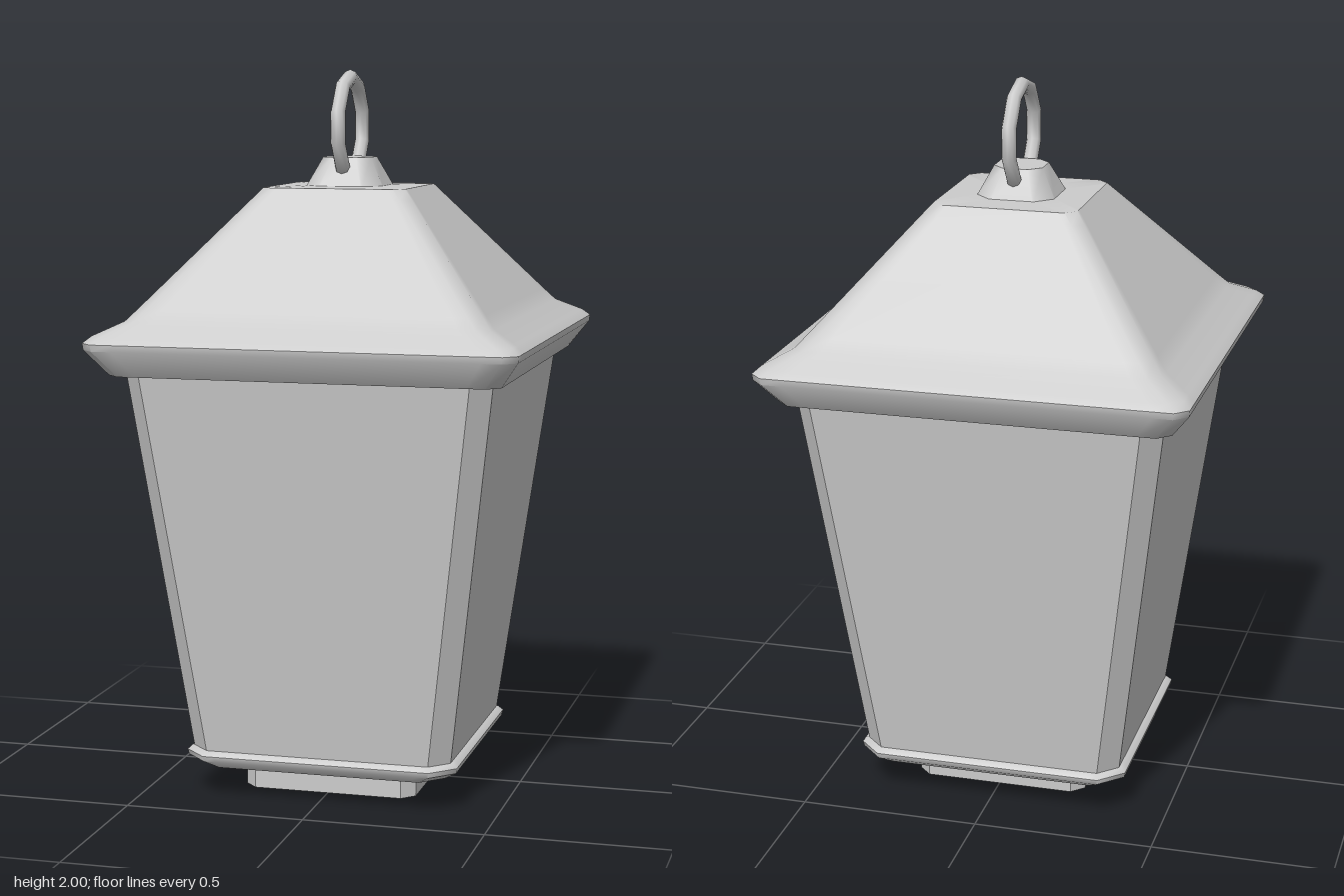
import * as THREE from 'three';
import { toCreasedNormals } from 'three/addons/utils/BufferGeometryUtils.js';

const material = new THREE.MeshStandardMaterial({ color: 0xcccccc });

// Square outline with chamfered corners; extra points keep the corner shading narrow
function outline(half, chamfer) {
  const s = half - chamfer, side = [-s, -s * 0.9, s * 0.9, s], points = [];
  for (let i = 0; i < 4; i++) {
    const c = Math.round(Math.cos(i * Math.PI / 2)), d = Math.round(Math.sin(i * Math.PI / 2));
    for (const t of side) points.push([half * c - t * d, half * d + t * c]);
  }
  return points;
}

// Closed loft through sections [half width, chamfer, y], listed from bottom to top
function loft(sections, crease) {
  const pos = [], index = [], n = 16;
  for (const [half, chamfer, y] of sections)
    for (const [x, z] of outline(half, chamfer)) pos.push(x, y, z);
  const last = sections.length - 1, bottom = pos.length / 3, top = bottom + 1;
  pos.push(0, sections[0][2], 0, 0, sections[last][2], 0);
  for (let i = 0; i < n; i++) {
    const j = (i + 1) % n;
    for (let k = 0; k < last; k++) {
      const a = k * n + i, b = k * n + j;
      index.push(a, a + n, b, b, a + n, b + n);
    }
    index.push(bottom, i, j, top, last * n + j, last * n + i);
  }
  const geo = new THREE.BufferGeometry();
  geo.setAttribute('position', new THREE.Float32BufferAttribute(pos, 3));
  geo.setIndex(index);
  return toCreasedNormals(geo, crease);
}

export function createModel() {
  const group = new THREE.Group();
  const add = (name, geometry) => {
    const mesh = new THREE.Mesh(geometry, material);
    mesh.name = name;
    group.add(mesh);
    return mesh;
  };

  add('foot', loft([[0.245, 0.035, 0], [0.245, 0.035, 0.09]], 0.3));

  // Rounded tray under the body
  add('baseTray', loft([
    [0.345, 0.06, 0.08], [0.382, 0.065, 0.105], [0.385, 0.065, 0.12], [0.372, 0.06, 0.132],
  ], 0.82));

  // Tapered panes with chamfered corner posts
  add('lanternBody', loft([[0.365, 0.052, 0.12], [0.505, 0.052, 1.2]], 0.3));

  // Flared roof with eaves and a small cap
  add('roof', loft([
    [0.535, 0.035, 1.19], [0.588, 0.035, 1.262], [0.59, 0.035, 1.28], [0.57, 0.035, 1.298],
    [0.5, 0.032, 1.333], [0.47, 0.032, 1.367], [0.225, 0.028, 1.651], [0.2, 0.028, 1.68],
    [0.108, 0.045, 1.682], [0.068, 0.033, 1.76],
  ], 0.82));

  // Ten-sided hanging loop
  const loop = new THREE.TorusGeometry(0.136, 0.021, 8, 10);
  loop.rotateZ(Math.PI / 2).rotateY(Math.PI / 2);
  add('hangingLoop', loop).position.y = 1.843;

  return group;
}
